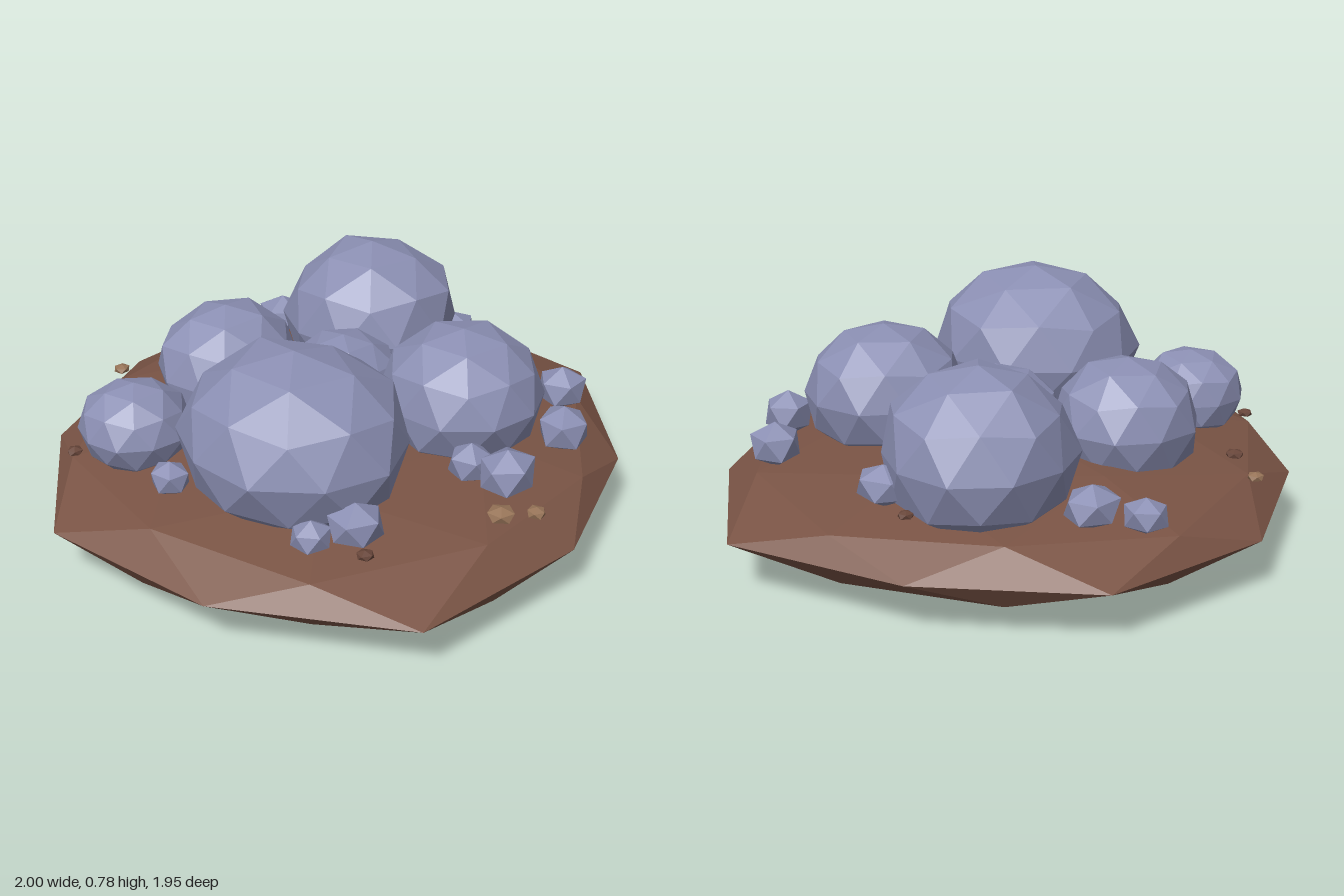
import * as THREE from 'three';
import { mergeVertices } from 'three/addons/utils/BufferGeometryUtils.js';

const rockGrey = new THREE.MeshStandardMaterial({ color: 0x8b8fb3 });
const earthBrown = new THREE.MeshStandardMaterial({ color: 0x7a5445 });
const pebbleTan = new THREE.MeshStandardMaterial({ color: 0x977458 });
const pebbleBrown = new THREE.MeshStandardMaterial({ color: 0x68463a });

// Small seeded generator, giving -1..1
function seeded(seed) {
  let s = (seed * 7919 + 17) % 233280;
  return () => {
    s = (s * 9301 + 49297) % 233280;
    return (s / 233280) * 2 - 1;
  };
}

// Faceted ball standing on a vertex, each corner moved by a rule
function facetedBall(detail, rule) {
  let g = new THREE.IcosahedronGeometry(1, detail);
  g.deleteAttribute('normal');
  g.deleteAttribute('uv');
  g = mergeVertices(g, 1e-3);
  g.rotateZ(Math.atan(2 / (1 + Math.sqrt(5))));
  g.rotateY(Math.PI);
  const p = g.attributes.position;
  const v = new THREE.Vector3();
  for (let i = 0; i < p.count; i++) {
    rule(v.fromBufferAttribute(p, i));
    p.setXYZ(i, v.x, v.y, v.z);
  }
  const flat = g.toNonIndexed();
  flat.computeVertexNormals();
  return flat;
}

function stone(name, seed, detail, jitter, turn, [x, y, z, rx, ry, rz], material) {
  const rand = seeded(seed);
  const g = facetedBall(detail, (v) => v.multiplyScalar(1 + jitter * rand()));
  g.rotateY(turn);
  const mesh = new THREE.Mesh(g, material);
  mesh.name = name;
  mesh.scale.set(rx, ry, rz);
  mesh.position.set(x, y, z);
  return mesh;
}

// Flat mound whose rim swells and shrinks around ten corners
function mound() {
  const rim = [1.06, 0.957, 0.97, 1.09, 1.01, 1.04, 0.96, 0.98, 1.01, 0.955];
  const g = facetedBall(1, (v) => {
    const turn = (Math.atan2(v.z, v.x) / (Math.PI * 2) + 1) * 10 - 0.5;
    const k = Math.floor(turn + 1e-4);
    const f = turn - k;
    const r = rim[k % 10] * (1 - f) + rim[(k + 1) % 10] * f;
    v.set(v.x * r, 0.18 + v.y * 0.18, v.z * r);
  });
  const mesh = new THREE.Mesh(g, earthBrown);
  mesh.name = 'earthMound';
  return mesh;
}

export function createModel() {
  const model = new THREE.Group();
  model.add(mound());

  // Boulders: x, y, z, then the three radii
  const boulders = [
    [-0.43, 0.49, 0.2, 0.35, 0.29, 0.38],
    [0.465, 0.45, -0.235, 0.31, 0.28, 0.31],
    [0.19, 0.45, 0.38, 0.275, 0.235, 0.275],
    [-0.115, 0.42, -0.4, 0.25, 0.22, 0.24],
    [-0.58, 0.38, -0.365, 0.185, 0.16, 0.185],
    [0.07, 0.4, -0.03, 0.19, 0.18, 0.2],
  ];
  boulders.forEach((b, i) => model.add(stone('boulder', i + 1, 1, 0.035, i * 1.3, b, rockGrey)));

  // Small stones around the boulders
  const stones = [
    [0.32, 0.32, -0.755, 0.075, 0.06, 0.075],
    [0.41, 0.345, -0.62, 0.098, 0.07, 0.092],
    [0.6, 0.345, 0.505, 0.09, 0.078, 0.09],
    [0.36, 0.35, 0.675, 0.092, 0.082, 0.092],
    [-0.015, 0.365, 0.715, 0.105, 0.085, 0.095],
    [-0.02, 0.35, 0.58, 0.08, 0.07, 0.08],
    [-0.54, 0.355, 0.54, 0.095, 0.075, 0.09],
    [-0.64, 0.325, 0.45, 0.07, 0.055, 0.07],
    [-0.69, 0.335, -0.095, 0.065, 0.06, 0.07],
    [0.69, 0.365, -0.04, 0.085, 0.07, 0.1],
  ];
  stones.forEach((s, i) => model.add(stone('smallStone', i + 20, 0, 0.05, i * 0.8, s, rockGrey)));

  // Pebbles: x, y, z, radius, material
  const pebbles = [
    [-0.145, 0.305, 0.79, 0.047, pebbleTan],
    [-0.04, 0.287, 0.85, 0.034, pebbleTan],
    [-0.22, 0.287, -0.83, 0.03, pebbleTan],
    [-0.31, 0.308, -0.7, 0.032, pebbleBrown],
    [-0.725, 0.29, -0.51, 0.028, pebbleBrown],
    [0.38, 0.358, 0.18, 0.034, pebbleBrown],
    [-0.58, 0.298, 0.61, 0.03, pebbleBrown],
    [0.73, 0.31, -0.16, 0.028, pebbleBrown],
  ];
  pebbles.forEach(([x, y, z, r, m], i) =>
    model.add(stone('pebble', i + 40, 0, 0.08, i, [x, y, z, r, r * 0.55, r], m)));

  return model;
}
